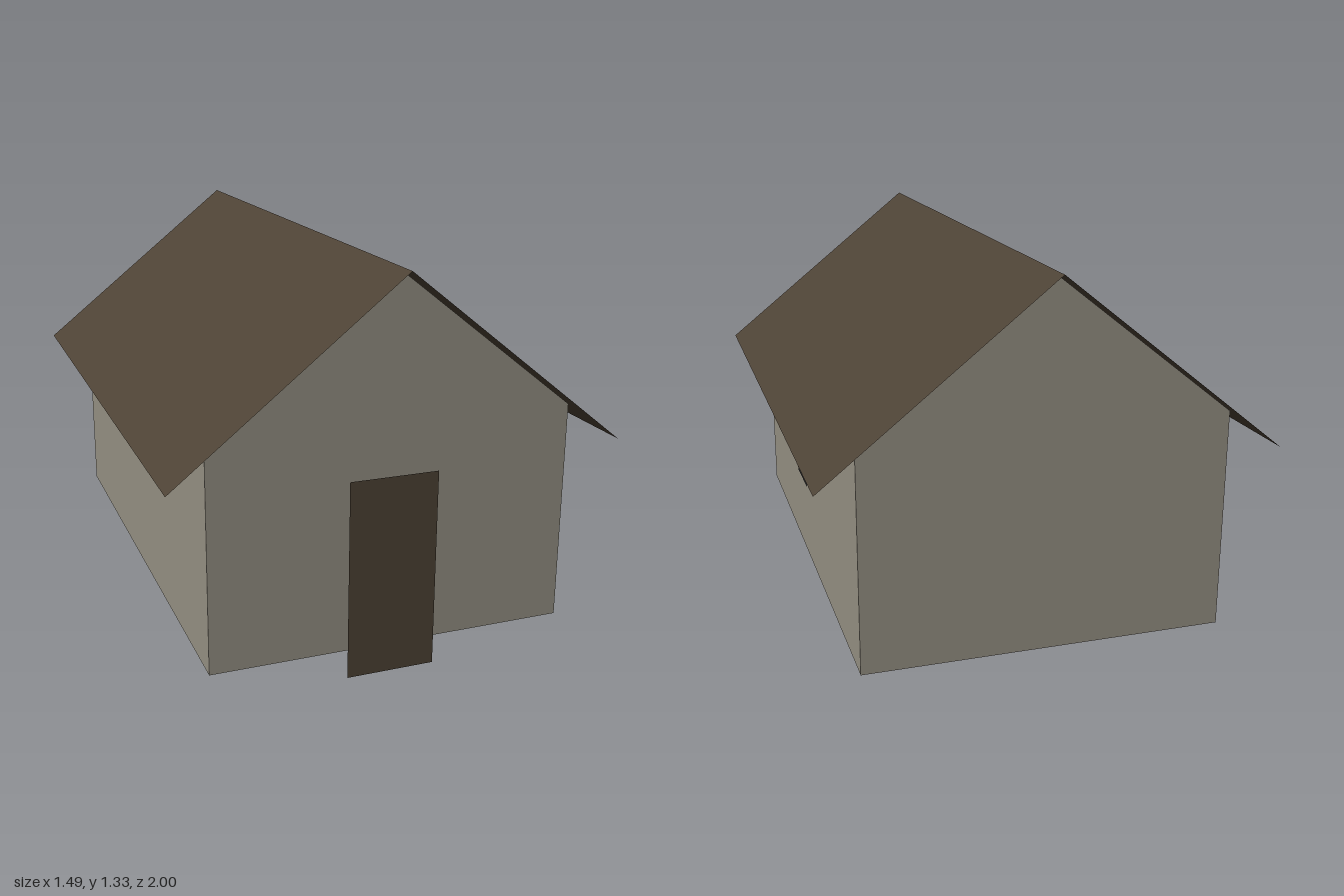
import * as THREE from 'three';

const paint = (name, color) => {
  const m = new THREE.MeshStandardMaterial({ color, side: THREE.DoubleSide });
  m.name = name;
  return m;
};

export function createModel() {
  const house = new THREE.Group();
  house.name = 'house';
  const plaster = paint('plaster', 0x959083);
  const darkWood = paint('darkWood', 0x4d4235);
  const darkGlass = paint('darkGlass', 0x232323);

  const add = (name, geometry, material, x, y, z) => {
    const mesh = new THREE.Mesh(geometry, material);
    mesh.name = name;
    mesh.position.set(x, y, z);
    house.add(mesh);
    return mesh;
  };

  const halfW = 0.606, halfL = 0.914, base = 0.096, eave = 0.839, peak = 1.317;

  // Gable end outline; the shell is open underneath
  const gable = new THREE.Shape([
    [-halfW, base], [halfW, base], [halfW, eave], [0, peak], [-halfW, eave],
  ].map(([x, y]) => new THREE.Vector2(x, y)));
  add('frontWall', new THREE.ShapeGeometry(gable), plaster, 0, 0, halfL);
  add('backWall', new THREE.ShapeGeometry(gable), plaster, 0, 0, -halfL).rotation.y = Math.PI;

  // Side walls and thin overhanging roof slopes, mirrored
  const roofX = 0.745, roofLow = 0.732, ridge = 1.325;
  for (const [label, s] of [['left', 1], ['right', -1]]) {
    add(label + 'Wall', new THREE.PlaneGeometry(2 * halfL, eave - base), plaster,
      s * halfW, (base + eave) / 2, 0).rotation.y = s * Math.PI / 2;

    const slope = new THREE.PlaneGeometry(Math.hypot(roofX, ridge - roofLow), 2);
    slope.rotateX(-Math.PI / 2);
    add(label + 'Roof', slope, darkWood, s * roofX / 2, (ridge + roofLow) / 2, 0)
      .rotation.z = -s * Math.atan2(ridge - roofLow, roofX);
  }

  // Door reaching down to the ground
  add('door', new THREE.PlaneGeometry(0.3, 0.67), darkWood, 0, 0.335, halfL + 0.005);

  // Single side window
  add('window', new THREE.PlaneGeometry(0.2, 0.245), darkGlass, halfW + 0.005, 0.503, 0.095)
    .rotation.y = Math.PI / 2;

  return house;
}
